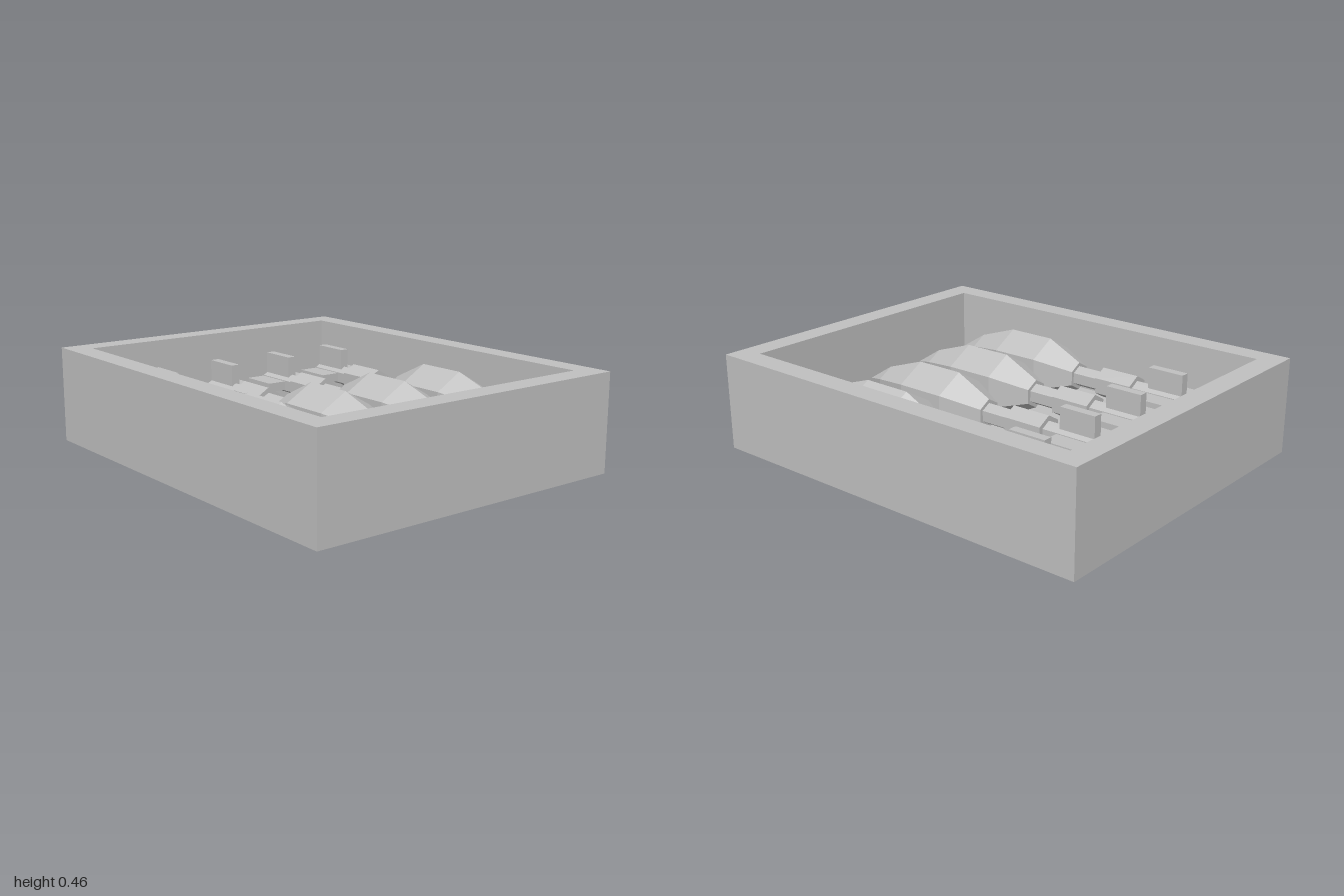
import * as THREE from 'three';

const grey = new THREE.MeshStandardMaterial({ color: 0xc0c0c0, flatShading: true });
grey.name = 'plain grey';

function mesh(name, geometry) {
  const m = new THREE.Mesh(geometry, grey);
  m.name = name;
  return m;
}

// Six-sided turned solid lying along +x with a ridge on top; profile is [x, radius]
function turned(name, profile) {
  const pts = profile.map(([x, r]) => new THREE.Vector2(r, x));
  const g = new THREE.LatheGeometry(pts, 6, Math.PI / 2);
  g.rotateZ(-Math.PI / 2);
  return mesh(name, g);
}

function box(name, w, h, d, x, y, z) {
  const m = mesh(name, new THREE.BoxGeometry(w, h, d));
  m.position.set(x, y, z);
  return m;
}

function rectangle(PathType, hw, hd) {
  return new PathType([[-hw, -hd], [hw, -hd], [hw, hd], [-hw, hd]].map(([x, y]) => new THREE.Vector2(x, y)));
}

// Open crate: a ring of walls around a floor
function createCrate() {
  const crate = new THREE.Group();
  crate.name = 'crate';
  const ring = rectangle(THREE.Shape, 1, 0.805);
  ring.holes.push(rectangle(THREE.Path, 0.89, 0.697));
  const walls = new THREE.ExtrudeGeometry(ring, { depth: 0.46, bevelEnabled: false });
  walls.rotateX(-Math.PI / 2);
  crate.add(mesh('walls', walls));
  crate.add(box('floor', 1.78, 0.1, 1.394, 0, 0.05, 0));
  return crate;
}

// Finned shell pointing along +x
function createShell() {
  const shell = new THREE.Group();
  shell.name = 'shell';
  shell.add(turned('body', [[-0.04, 0], [-0.04, 0.068], [0.14, 0.155], [0.38, 0.155], [0.58, 0.087], [0.717, 0]]));
  shell.add(turned('tailTube', [[-0.637, 0], [-0.637, 0.05], [-0.03, 0.05]]));
  shell.add(turned('collar', [[-0.38, 0], [-0.38, 0.074], [-0.185, 0.074], [-0.185, 0]]));
  shell.add(box('verticalFin', 0.183, 0.278, 0.043, -0.5465, 0, 0));
  shell.add(box('horizontalFin', 0.183, 0.043, 0.278, -0.5465, 0, 0));
  return shell;
}

export function createModel() {
  const model = new THREE.Group();
  model.name = 'crateOfShells';
  model.add(createCrate());
  for (let i = 0; i < 4; i++) {
    const shell = createShell();
    shell.position.set(0, 0.242, -0.507 + i * 0.337);
    model.add(shell);
  }
  return model;
}
